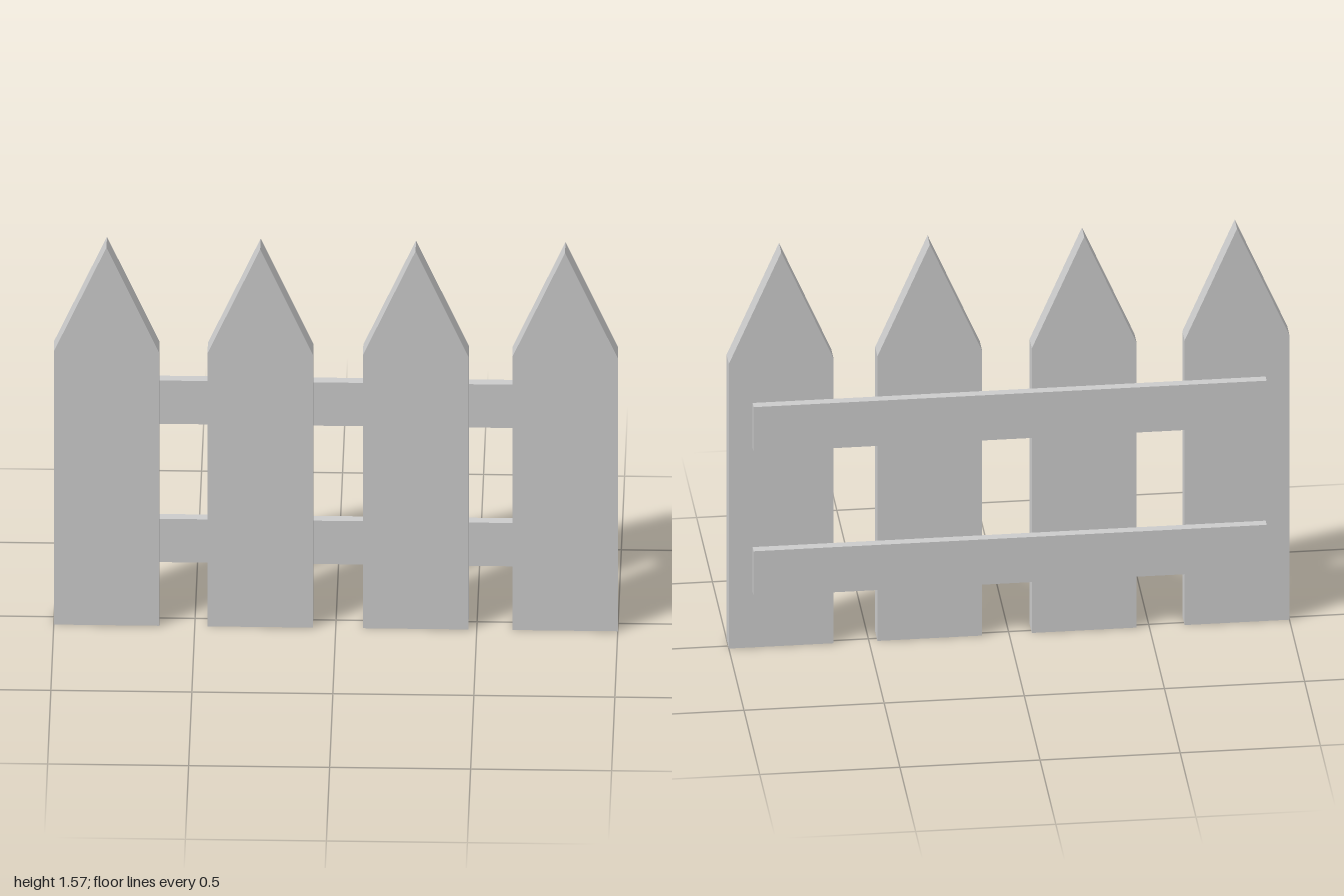
import * as THREE from 'three';

const PICKET = { width: 0.374, shoulder: 1.135, height: 1.57, back: -0.02, front: 0.053 };
const RAIL = { length: 1.83, height: 0.18, back: -0.053 };

export function createModel() {
  const group = new THREE.Group();
  group.name = 'picketFence';
  const material = new THREE.MeshStandardMaterial({ color: 0xcccccc, flatShading: true });

  // Pointed board outline, extruded to the board's thickness
  const half = PICKET.width / 2;
  const outline = new THREE.Shape([
    new THREE.Vector2(-half, 0),
    new THREE.Vector2(half, 0),
    new THREE.Vector2(half, PICKET.shoulder),
    new THREE.Vector2(0, PICKET.height),
    new THREE.Vector2(-half, PICKET.shoulder),
  ]);
  const picketGeometry = new THREE.ExtrudeGeometry(outline, {
    depth: PICKET.front - PICKET.back,
    bevelEnabled: false,
  });

  // Four upright pickets, slightly unevenly spaced
  [-0.813, -0.268, 0.283, 0.813].forEach((x, i) => {
    const picket = new THREE.Mesh(picketGeometry, material);
    picket.name = `picket${i + 1}`;
    picket.position.set(x, 0, PICKET.back);
    group.add(picket);
  });

  // Two horizontal rails fixed to the back of the pickets
  const depth = PICKET.back - RAIL.back;
  const railGeometry = new THREE.BoxGeometry(RAIL.length, RAIL.height, depth);
  [['lowerRail', 0.31], ['upperRail', 0.885]].forEach(([name, y]) => {
    const rail = new THREE.Mesh(railGeometry, material);
    rail.name = name;
    rail.position.set(0, y, RAIL.back + depth / 2);
    group.add(rail);
  });

  return group;
}
